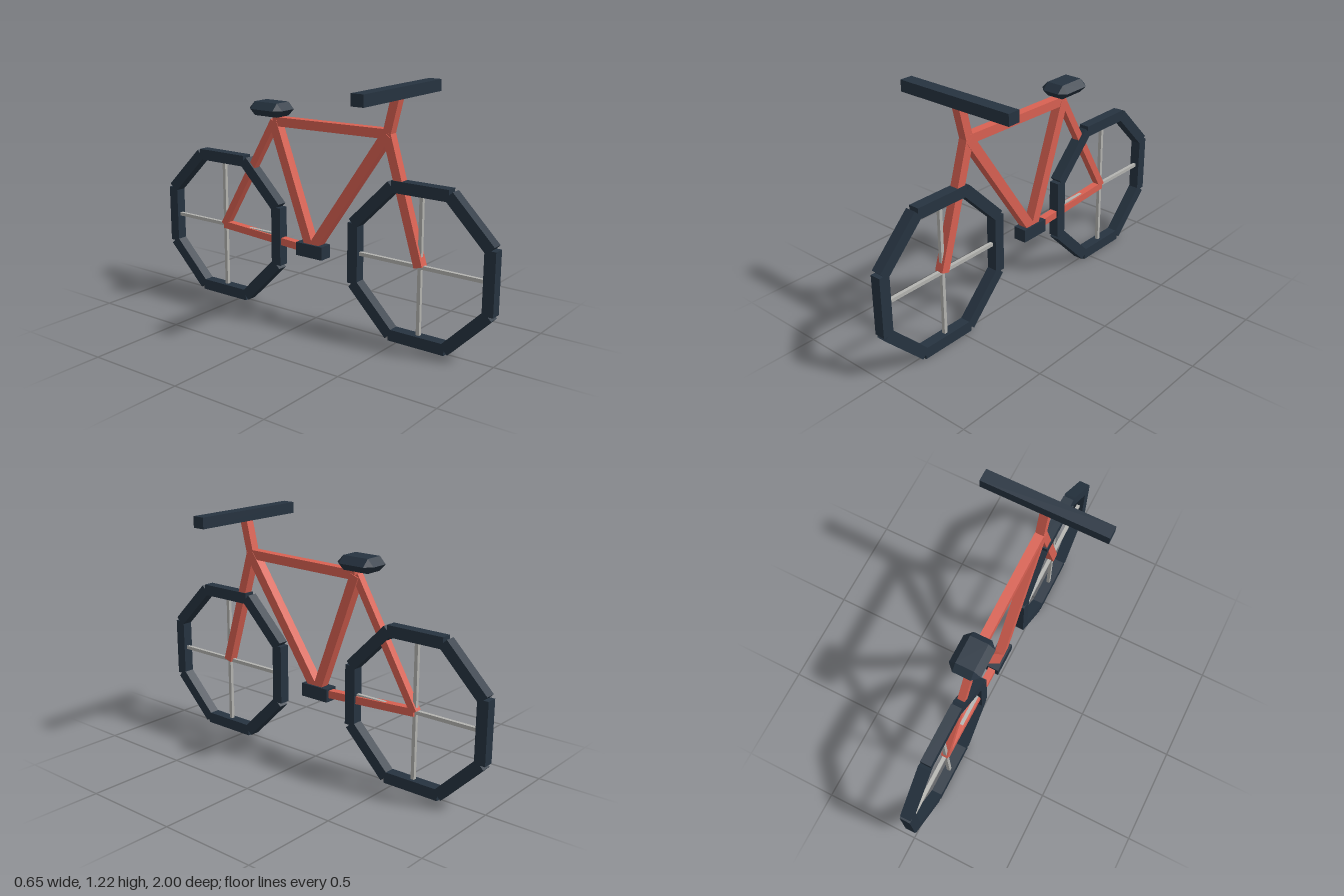
import * as THREE from 'three';
import { ConvexGeometry } from 'three/addons/geometries/ConvexGeometry.js';

const framePaint = new THREE.MeshStandardMaterial({ color: 0xd96152, name: 'framePaint' });
const darkRubber = new THREE.MeshStandardMaterial({ color: 0x263340, name: 'darkRubber' });
const spokeMetal = new THREE.MeshStandardMaterial({ color: 0xb4b4b0, name: 'spokeMetal' });

function addBox(parent, name, material, size, position) {
  const mesh = new THREE.Mesh(new THREE.BoxGeometry(...size), material);
  mesh.name = name;
  mesh.position.set(...position);
  parent.add(mesh);
  return mesh;
}

// Square tube between two [z, y] points on the centre plane
function addTube(parent, name, [z1, y1], [z2, y2], thickness) {
  const dz = z2 - z1, dy = y2 - y1;
  const tube = addBox(parent, name, framePaint, [thickness, Math.hypot(dz, dy), thickness],
    [0, (y1 + y2) / 2, (z1 + z2) / 2]);
  tube.rotation.x = Math.atan2(dz, dy);
}

// Octagonal wheel: eight straight tyre blocks and two crossing spokes
function makeWheel(name, z) {
  const wheel = new THREE.Group();
  wheel.name = name;
  wheel.position.set(0, 0.395, z);
  const radius = 0.366;
  for (let i = 0; i < 8; i++) {
    const a = (i * Math.PI) / 4;
    const block = addBox(wheel, 'tyreSegment', darkRubber, [0.055, 0.057, 0.305],
      [0, radius * Math.cos(a), radius * Math.sin(a)]);
    block.rotation.x = a;
  }
  addBox(wheel, 'verticalSpoke', spokeMetal, [0.018, 0.7, 0.018], [0, 0, 0]);
  addBox(wheel, 'horizontalSpoke', spokeMetal, [0.018, 0.018, 0.7], [0, 0, 0]);
  return wheel;
}

// Saddle: flat top and bottom, widening to an octagonal waist
function makeSaddle() {
  const hx = 0.08, hz = 0.105, hy = 0.035, bevel = 0.034;
  const points = [];
  for (const sx of [-1, 1]) {
    for (const sz of [-1, 1]) {
      points.push(new THREE.Vector3(sx * hx, 0, sz * (hz - bevel)));
      points.push(new THREE.Vector3(sx * (hx - bevel), 0, sz * hz));
      for (const sy of [-1, 1]) {
        points.push(new THREE.Vector3(sx * (hx - bevel), sy * hy, sz * (hz - bevel)));
      }
    }
  }
  const saddle = new THREE.Mesh(new ConvexGeometry(points), darkRubber);
  saddle.name = 'saddle';
  saddle.position.set(0, 1.05, -0.279);
  return saddle;
}

export function createModel() {
  const bicycle = new THREE.Group();
  bicycle.name = 'bicycle';

  bicycle.add(makeWheel('frontWheel', 0.605), makeWheel('rearWheel', -0.605));

  // Frame joints as [z, y]
  const head = [0.42, 1.0], seat = [-0.255, 0.99], crank = [-0.02, 0.36];
  const frontAxle = [0.605, 0.395], rearAxle = [-0.605, 0.395];
  const frame = new THREE.Group();
  frame.name = 'frame';
  addTube(frame, 'topTube', head, seat, 0.046);
  addTube(frame, 'downTube', head, crank, 0.05);
  addTube(frame, 'seatTube', seat, crank, 0.05);
  addTube(frame, 'seatStay', seat, rearAxle, 0.038);
  addTube(frame, 'chainStay', crank, rearAxle, 0.038);
  addTube(frame, 'fork', head, frontAxle, 0.046);
  addTube(frame, 'stem', head, [0.468, 1.195], 0.044);
  bicycle.add(frame);

  // Contact parts
  addBox(bicycle, 'crankBlock', darkRubber, [0.07, 0.068, 0.16], [0, 0.36, -0.02]);
  addBox(bicycle, 'handlebar', darkRubber, [0.65, 0.057, 0.067], [0, 1.195, 0.466]);
  bicycle.add(makeSaddle());

  return bicycle;
}
